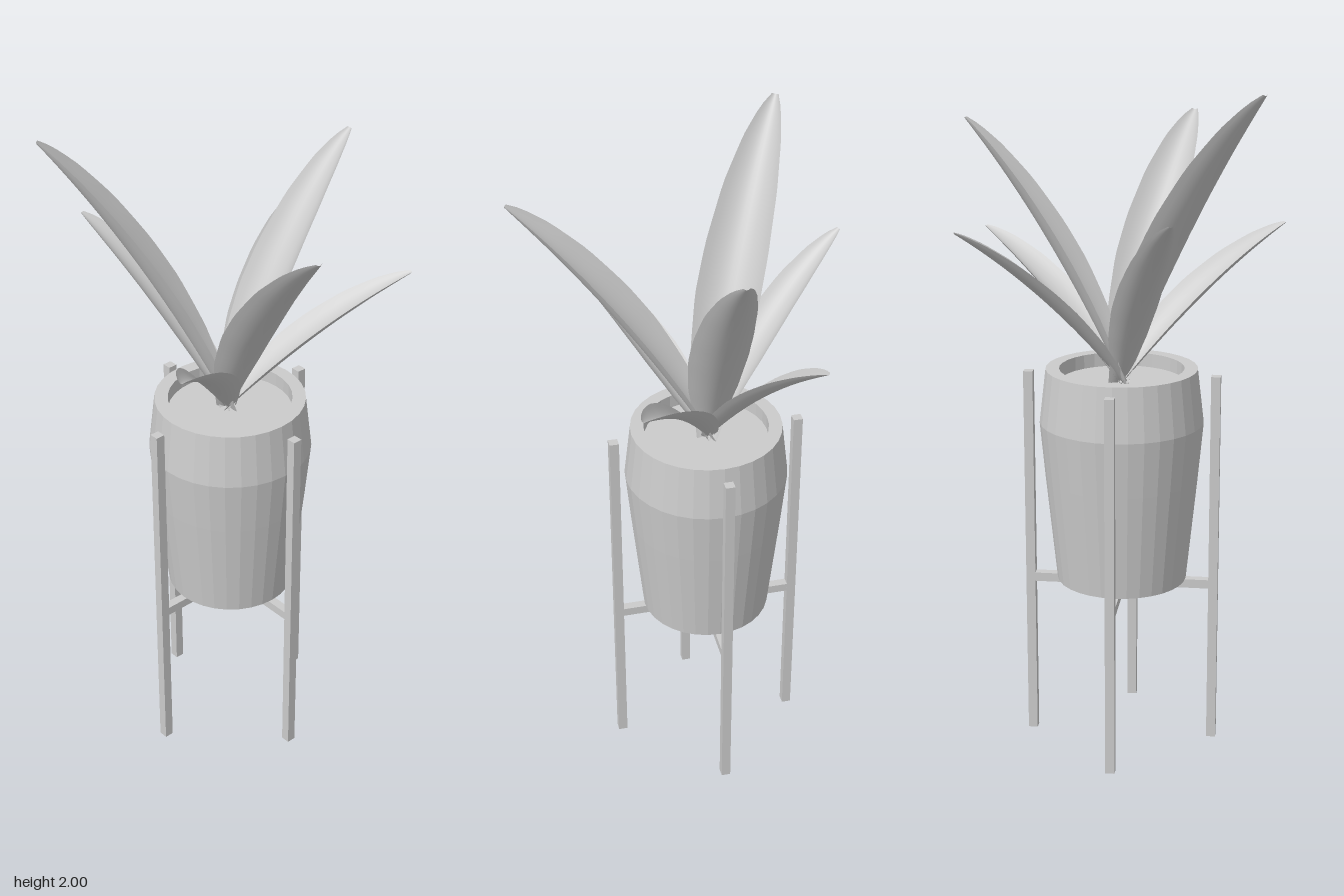
import * as THREE from 'three';

const CZ = -0.045; // axis of pot and stand
const grey = new THREE.MeshStandardMaterial({ color: 0xcccccc });
const flat = new THREE.MeshStandardMaterial({ color: 0xcccccc, flatShading: true });
const thin = new THREE.MeshStandardMaterial({ color: 0xcccccc, side: THREE.DoubleSide });

function add(parent, name, geometry, material, x = 0, y = 0, z = 0) {
  const mesh = new THREE.Mesh(geometry, material);
  mesh.name = name;
  mesh.position.set(x, y, z);
  parent.add(mesh);
  return mesh;
}

// relative half-width of a leaf along its length
const WIDTHS = [[0, 0.3], [0.1, 0.58], [0.22, 0.85], [0.38, 1], [0.52, 0.98], [0.7, 0.83], [0.85, 0.58], [0.95, 0.32], [1, 0.1]];
function leafWidth(t) {
  let i = 1;
  while (i < WIDTHS.length - 1 && WIDTHS[i][0] < t) i++;
  const [t0, w0] = WIDTHS[i - 1], [t1, w1] = WIDTHS[i];
  return w0 + (w1 - w0) * (t - t0) / (t1 - t0);
}

// cupped leaf swept along an arching midrib from the soil to its tip
function leafGeometry(tip) {
  const base = new THREE.Vector3(0, 1.12, CZ - 0.01);
  const out = new THREE.Vector3(tip.x - base.x, 0, tip.z - base.z).normalize();
  base.addScaledVector(out, -0.01);
  const length = base.distanceTo(tip);
  const control = base.clone().lerp(tip, 0.5);
  control.y += 0.09 * length;
  control.addScaledVector(out, -0.02 * length);
  const rib = new THREE.QuadraticBezierCurve3(base, control, tip);
  const side = new THREE.Vector3(0, 1, 0).cross(out).normalize();
  const halfWidth = 0.066 + 0.03 * (length - 0.7) / 0.3;

  const geo = new THREE.PlaneGeometry(1, 1, 12, 28);
  const pos = geo.attributes.position;
  for (let i = 0; i < pos.count; i++) {
    const u = pos.getX(i) * 2, t = pos.getY(i) + 0.5;
    const p = rib.getPoint(t);
    const normal = rib.getTangent(t).cross(side).normalize();
    const w = halfWidth * leafWidth(t);
    p.addScaledVector(side, u * w);
    p.addScaledVector(normal, 0.55 * w * u * u);
    pos.setXYZ(i, p.x, p.y, p.z);
  }
  geo.computeVertexNormals();
  return geo;
}

export function createModel() {
  const model = new THREE.Group();
  model.name = 'pottedPlantOnStand';

  // stand: four square legs and a cross of two bars
  const stand = new THREE.Group();
  stand.name = 'stand';
  stand.position.z = CZ;
  model.add(stand);
  for (let i = 0; i < 4; i++) {
    const a = i * Math.PI / 2;
    const leg = new THREE.BoxGeometry(0.028, 1.155, 0.028);
    add(stand, 'standLeg', leg, grey, 0.279 * Math.cos(a), 0.5775, 0.279 * Math.sin(a));
  }
  add(stand, 'crossBar', new THREE.BoxGeometry(0.54, 0.027, 0.027), grey, 0, 0.505, 0);
  add(stand, 'crossBar', new THREE.BoxGeometry(0.027, 0.027, 0.54), grey, 0, 0.505, 0);

  // faceted pot with a flat rim, and the soil inside
  const profile = [[0, 0.519], [0.195, 0.519], [0.228, 0.84], [0.244, 1.01], [0.225, 1.172], [0.185, 1.172], [0.185, 1.1]];
  const pot = new THREE.LatheGeometry(profile.map(([r, y]) => new THREE.Vector2(r, y)), 32);
  add(model, 'pot', pot, flat, 0, 0, CZ);
  add(model, 'soil', new THREE.CylinderGeometry(0.187, 0.187, 0.03, 32), grey, 0, 1.115, CZ);

  // leaves, given by their tips
  const tips = [
    [-0.42, 2.0, -0.35], [0.455, 1.895, -0.035], [-0.165, 1.87, 0.485], [-0.185, 1.67, -0.485],
    [0.445, 1.6, -0.265], [0.455, 1.535, 0.235], [-0.46, 1.555, 0.29],
  ];
  const leaves = new THREE.Group();
  leaves.name = 'leaves';
  model.add(leaves);
  for (const tip of tips) add(leaves, 'leaf', leafGeometry(new THREE.Vector3(...tip)), thin);

  return model;
}
